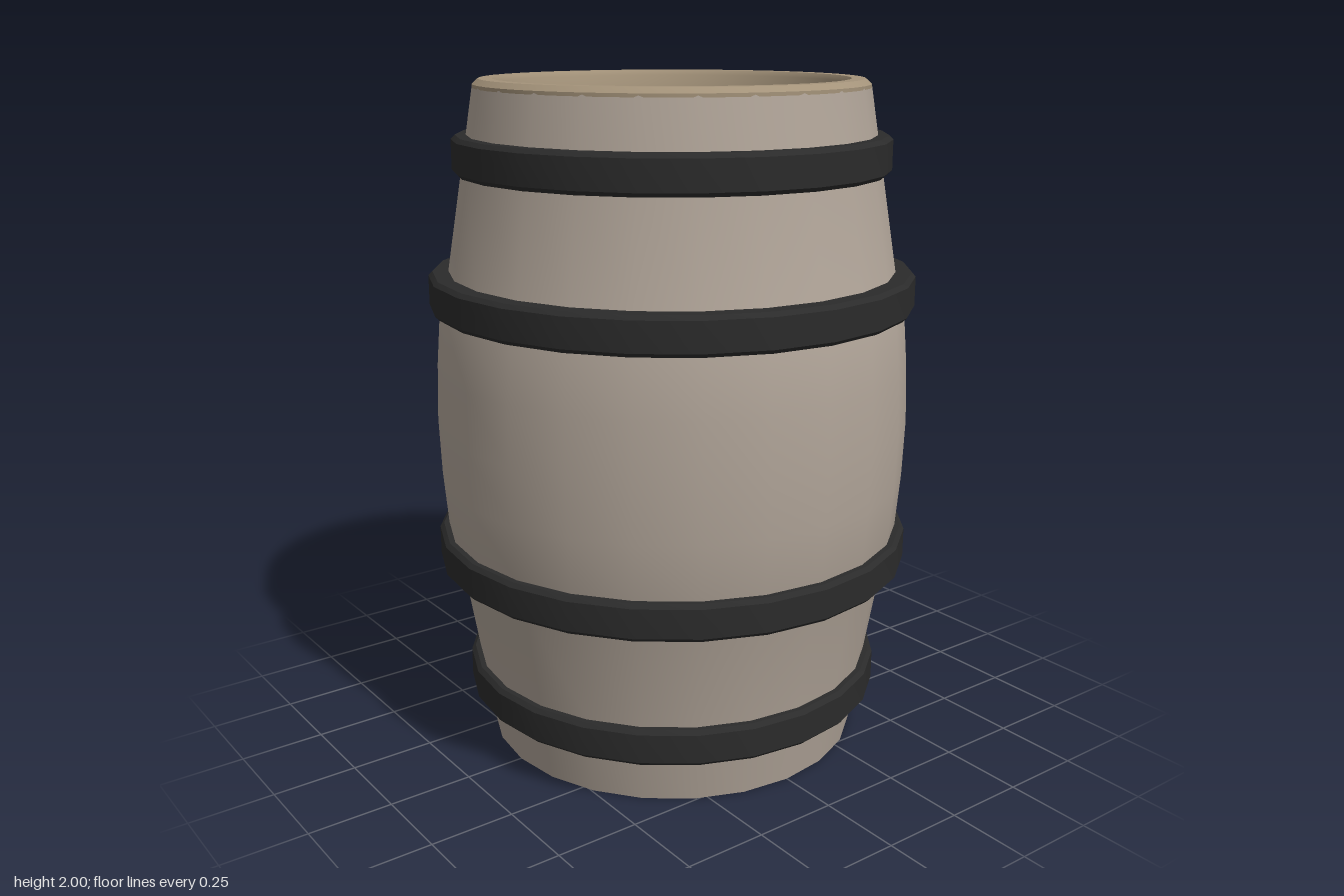
import * as THREE from 'three';
import { toCreasedNormals } from 'three/addons/utils/BufferGeometryUtils.js';
import { RoundedBoxGeometry } from 'three/addons/geometries/RoundedBoxGeometry.js';

const mat = (color) => new THREE.MeshStandardMaterial({ color });

// Revolve a profile of [radius, height] points, keeping sharp edges
function turned(name, profile, sides, material) {
  const points = profile.map(([r, y]) => new THREE.Vector2(r, y));
  const geometry = toCreasedNormals(new THREE.LatheGeometry(points, sides), 0.6);
  const mesh = new THREE.Mesh(geometry, material);
  mesh.name = name;
  return mesh;
}

export function createModel() {
  const barrel = new THREE.Group();
  barrel.name = 'barrel';
  const wood = mat(0xb0a498);
  const rimWood = mat(0xa4937a);
  const lidWood = mat(0x5c564e);
  const iron = mat(0x2b2b2b);

  // Bulging side wall, mirrored about mid height
  const lower = [[0.57, 0], [0.6, 0.19], [0.612, 0.26], [0.662, 0.56], [0.69, 0.66], [0.704, 0.83]];
  const upper = lower.slice(1).reverse().map(([r, y]) => [r, 2 - y]);
  barrel.add(turned('body', [...lower, [0.71, 1], ...upper, [0.572, 1.98]], 24, wood));

  // Bottom board
  barrel.add(turned('bottom', [[0, 0.005], [0.57, 0.005]], 48, lidWood));

  // Top rim with the inner wall down to the lid
  barrel.add(turned('rim', [[0.572, 1.975], [0.572, 1.985], [0.555, 2], [0.515, 2], [0.505, 1.985], [0.505, 1.83]], 48, rimWood));

  // Sunken lid
  barrel.add(turned('lid', [[0.51, 1.845], [0, 1.845]], 48, lidWood));

  // Lid planks: [centre x, width, length]
  const planks = [[0, 0.148, 0.99], [0.164, 0.144, 0.94], [0.325, 0.143, 0.76], [0.453, 0.076, 0.22]];
  for (const [x, width, length] of planks) {
    for (const side of x ? [1, -1] : [1]) {
      const plank = new THREE.Mesh(new RoundedBoxGeometry(width, 0.05, length, 2, 0.01), lidWood);
      plank.name = 'lidPlank';
      plank.position.set(side * x, 1.855, 0);
      barrel.add(plank);
    }
  }

  // Iron hoops with bevelled edges: [centre height, outer radius]
  for (const [y, r] of [[0.195, 0.638], [0.612, 0.719], [1.395, 0.719], [1.788, 0.638]]) {
    const inner = r - 0.07;
    const hoop = turned('hoop', [
      [inner, -0.055], [r - 0.012, -0.055], [r, -0.043], [r, 0.043], [r - 0.012, 0.055], [inner, 0.055],
    ], 24, iron);
    hoop.position.y = y;
    barrel.add(hoop);
  }

  return barrel;
}
